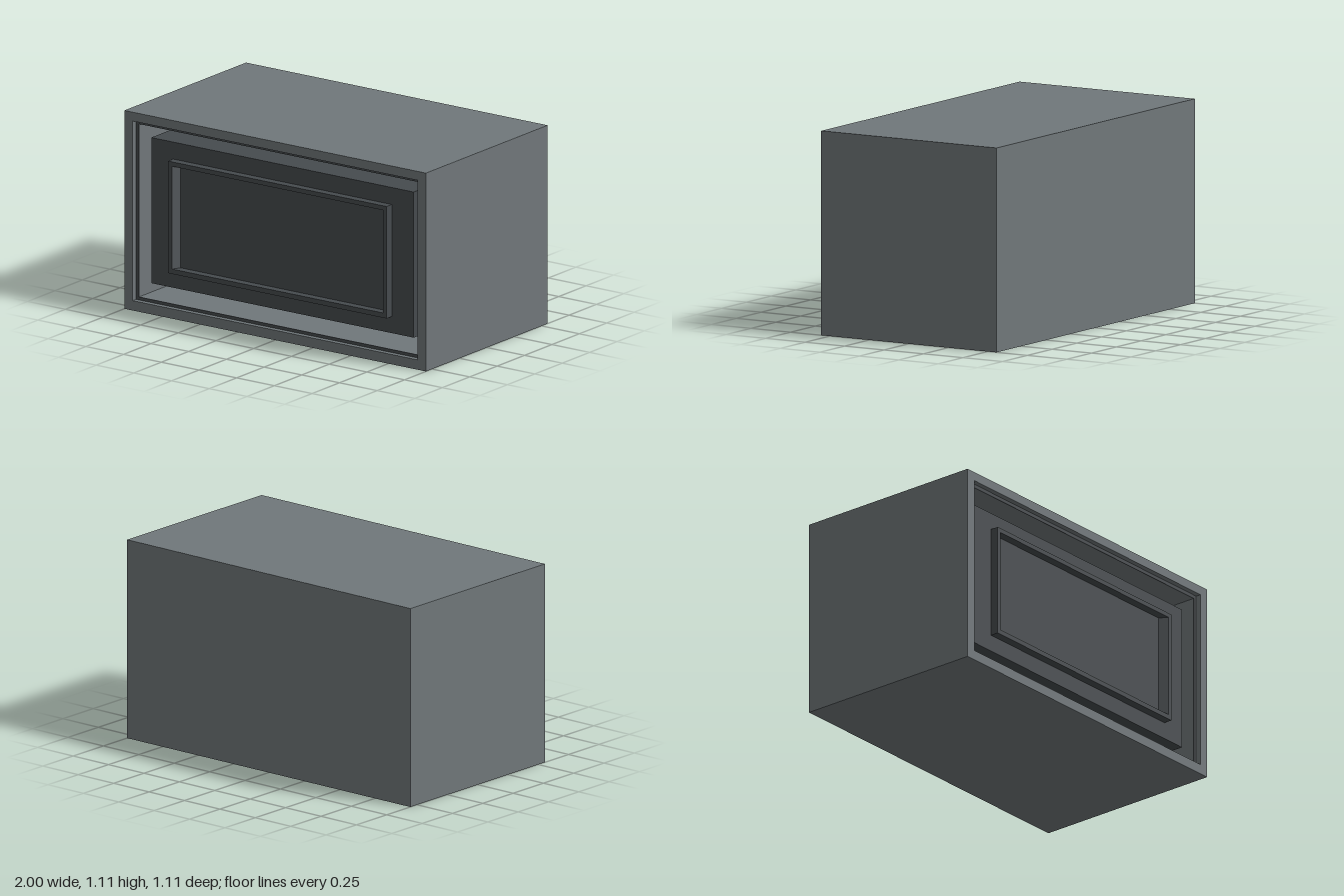
import * as THREE from 'three';

const FRONT = 0.555;
const MID = 0.555;
const bodyMat = new THREE.MeshStandardMaterial({ color: 0x70777a });
const darkMat = new THREE.MeshStandardMaterial({ color: 0x464b4e });
const trimMat = new THREE.MeshStandardMaterial({ color: 0x565b5e });

// Rectangle outline given by half width, bottom and top
function rect(target, [w, bottom, top]) {
  target.moveTo(-w, bottom);
  target.lineTo(w, bottom);
  target.lineTo(w, top);
  target.lineTo(-w, top);
  target.closePath();
  return target;
}

// Rectangular ring whose front and back lie at given depths behind the case front
function ring(name, outer, inner, near, far, material) {
  const shape = rect(new THREE.Shape(), outer);
  shape.holes.push(rect(new THREE.Path(), inner));
  const geo = new THREE.ExtrudeGeometry(shape, { depth: far - near, bevelEnabled: false });
  geo.translate(0, 0, FRONT - far);
  const mesh = new THREE.Mesh(geo, material);
  mesh.name = name;
  return mesh;
}

// Solid block between two depths
function block(name, [w, bottom, top], near, far, material) {
  const mesh = new THREE.Mesh(new THREE.BoxGeometry(2 * w, top - bottom, far - near), material);
  mesh.position.set(0, (bottom + top) / 2, FRONT - (near + far) / 2);
  mesh.name = name;
  return mesh;
}

export function createModel() {
  const model = new THREE.Group();
  model.name = 'boxedAppliance';

  const caseOuter = [1, 0, 2 * MID];
  const mouth = [0.945, 0.055, 1.06];
  const cavity = [0.925, 0.072, 1.04];

  // Outer case: stepped mouth, deep cavity and closed back
  model.add(ring('caseFrontRim', caseOuter, mouth, 0, 0.03, bodyMat));
  model.add(ring('caseWalls', caseOuter, cavity, 0.035, 1.06, bodyMat));
  model.add(ring('caseRimBacking', caseOuter, mouth, 0.03, 0.035, bodyMat));
  model.add(block('caseBack', caseOuter, 1.06, 1.11, bodyMat));

  // Dark seal sitting on the step inside the mouth
  model.add(ring('seal', mouth, cavity, 0.03, 0.035, darkMat));

  // Inner unit standing free of the cavity walls
  model.add(block('innerUnit', [0.87, 0.15, 0.965], 0.067, 1.06, darkMat));

  // Raised frame around the window
  model.add(ring('windowFrame', [0.725, 0.243, 0.87], [0.7, 0.27, 0.845], 0.02, 0.067, darkMat));

  // Slanted strips down both sides of the window
  for (const side of [-1, 1]) {
    const profile = new THREE.Shape([
      new THREE.Vector2(side * 0.7, 0.02),
      new THREE.Vector2(side * 0.675, 0.067),
      new THREE.Vector2(side * 0.7, 0.067),
    ]);
    const geo = new THREE.ExtrudeGeometry(profile, { depth: 0.575, bevelEnabled: false });
    geo.rotateX(-Math.PI / 2); // depth becomes -z, extrusion becomes up
    geo.translate(0, 0.27, FRONT);
    const strip = new THREE.Mesh(geo, trimMat);
    strip.name = side > 0 ? 'leftWindowStrip' : 'rightWindowStrip';
    model.add(strip);
  }
  return model;
}
